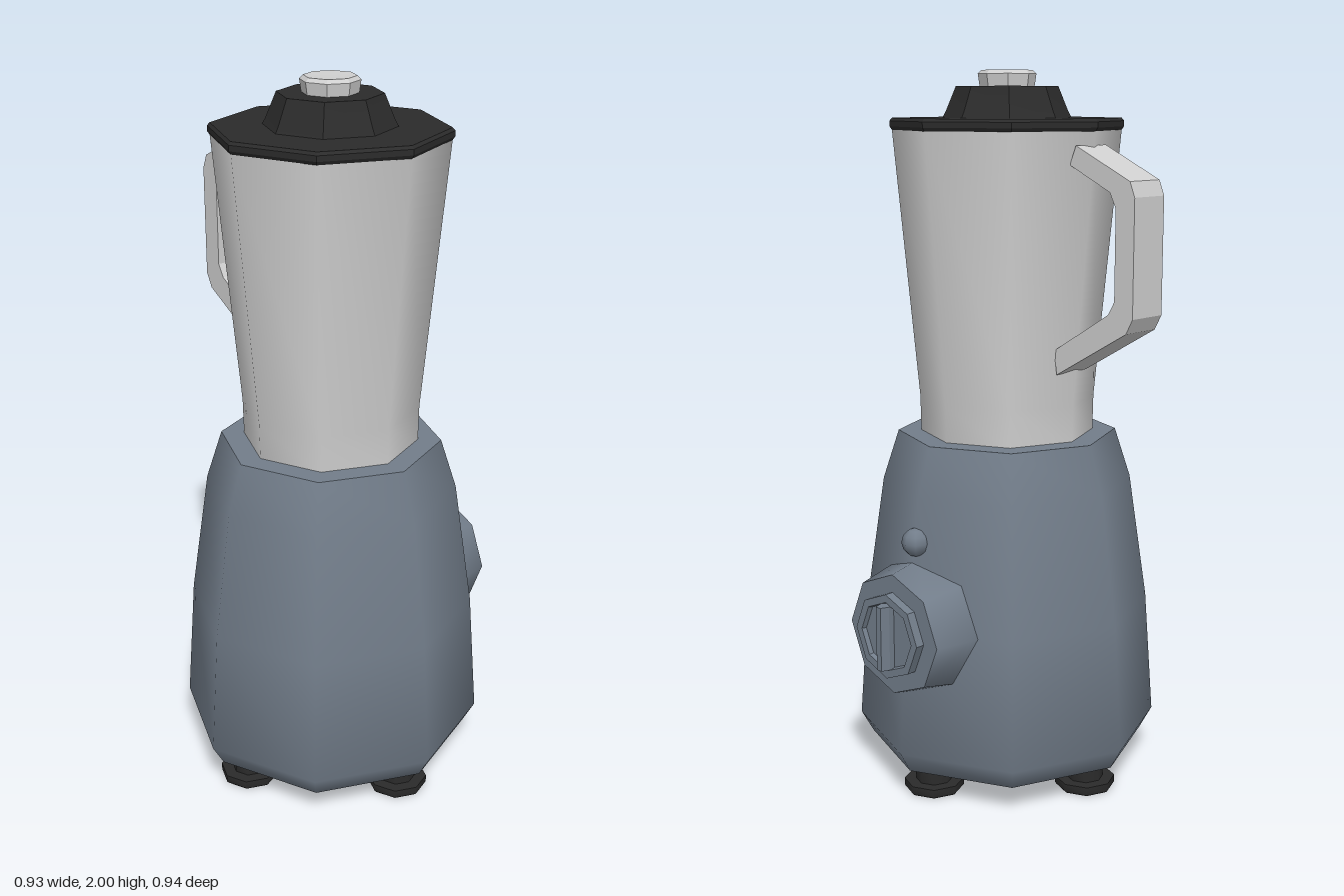
import * as THREE from 'three';
import { toCreasedNormals } from 'three/addons/utils/BufferGeometryUtils.js';

const SIDES = 8;

function paint(name, color) {
  const m = new THREE.MeshStandardMaterial({ color });
  m.name = name;
  return m;
}

// Eight-sided turned part from [radius, height] pairs, bottom to top
function turned(profile, crease) {
  const points = profile.map(([r, y]) => new THREE.Vector2(r, y));
  return toCreasedNormals(new THREE.LatheGeometry(points, SIDES), crease);
}

export function createModel() {
  const slate = paint('slate housing', 0x727d8a);
  const black = paint('black plastic', 0x2b2b2b);
  const silver = paint('pale jar', 0xcfcfcf);

  const model = new THREE.Group();
  model.name = 'blender';
  // Everything is built around the jar axis, then shifted to centre the whole
  const body = new THREE.Group();
  body.name = 'body';
  body.position.set(0.03, 0, 0.033);
  model.add(body);

  function add(name, geometry, material, x = 0, y = 0, z = 0, parent = body) {
    const mesh = new THREE.Mesh(geometry, material);
    mesh.name = name;
    mesh.position.set(x, y, z);
    parent.add(mesh);
    return mesh;
  }

  // Motor housing, with a soft underside and a sharp top rim
  add('motorHousing', turned([
    [0, 0.08], [0.4, 0.08], [0.434, 0.14], [0.408, 0.5],
    [0.355, 0.86], [0.31, 1.0], [0, 1.0],
  ], 1.15), slate);

  // Jar with a straight collar
  add('jar', turned([
    [0, 0.99], [0.245, 0.99], [0.247, 1.1], [0.316, 1.845], [0, 1.845],
  ], 0.95), silver);

  // Lid with a raised centre
  add('lid', turned([
    [0, 1.84], [0.315, 1.84], [0.322, 1.85], [0.322, 1.865], [0.315, 1.873],
    [0.177, 1.873], [0.168, 1.89], [0.14, 1.957], [0, 1.957],
  ], 0.4), black);

  // Filler cap
  add('fillerCap', turned([
    [0, 1.95], [0.074, 1.95], [0.08, 1.99], [0.07, 2.0], [0, 1.995],
  ], 0.4), silver);

  // Handle on the right side: outer line down, inner line back up
  const outline = [
    [-0.27, 1.805], [-0.45, 1.72], [-0.466, 1.68], [-0.466, 1.37], [-0.445, 1.33],
    [-0.21, 1.195], [-0.2, 1.26], [-0.385, 1.375], [-0.405, 1.41], [-0.405, 1.65],
    [-0.385, 1.69], [-0.25, 1.755],
  ].map(([x, y]) => new THREE.Vector2(x - 0.03, y));
  add('handle', new THREE.ExtrudeGeometry(new THREE.Shape(outline), {
    depth: 0.122, bevelEnabled: false,
  }), silver, 0, 0, -0.061);

  // Four feet under the corners of the housing
  const footShape = turned([
    [0, 0], [0.08, 0], [0.085, 0.006], [0.085, 0.027], [0.052, 0.027],
    [0.052, 0.1], [0, 0.1],
  ], 0.95);
  for (let i = 0; i < 4; i++) {
    const a = (i * Math.PI) / 2;
    add('foot', footShape, black, 0.305 * Math.sin(a), 0, 0.305 * Math.cos(a));
  }

  // Speed control on the back; local y points out of the housing
  const control = new THREE.Group();
  control.name = 'speedControl';
  control.position.set(0, 0.5, -0.32);
  control.rotation.x = -Math.PI / 2;
  body.add(control);
  add('controlMount', turned([
    [0.205, -0.04], [0.193, 0.03], [0.17, 0.135], [0, 0.135],
  ], 0.95), slate, 0, 0, 0, control);
  add('knob', turned([
    [0.12, 0.13], [0.12, 0.161], [0.098, 0.161], [0.094, 0.148], [0, 0.148],
  ], 0.6), slate, 0, 0, 0, control);

  // Grip bar, narrower at its outer edge
  const gripProfile = new THREE.Shape([
    [-0.018, 0.14], [0.018, 0.14], [0.018, 0.165], [0.009, 0.188],
    [-0.009, 0.188], [-0.018, 0.165],
  ].map(([x, y]) => new THREE.Vector2(x, y)));
  add('knobGrip', new THREE.ExtrudeGeometry(gripProfile, {
    depth: 0.18, bevelEnabled: false,
  }), slate, 0, 0, -0.09, control);

  // Indicator button above the knob
  add('indicator', new THREE.SphereGeometry(0.04, 8, 6), slate, 0, 0.742, -0.365);

  return model;
}
